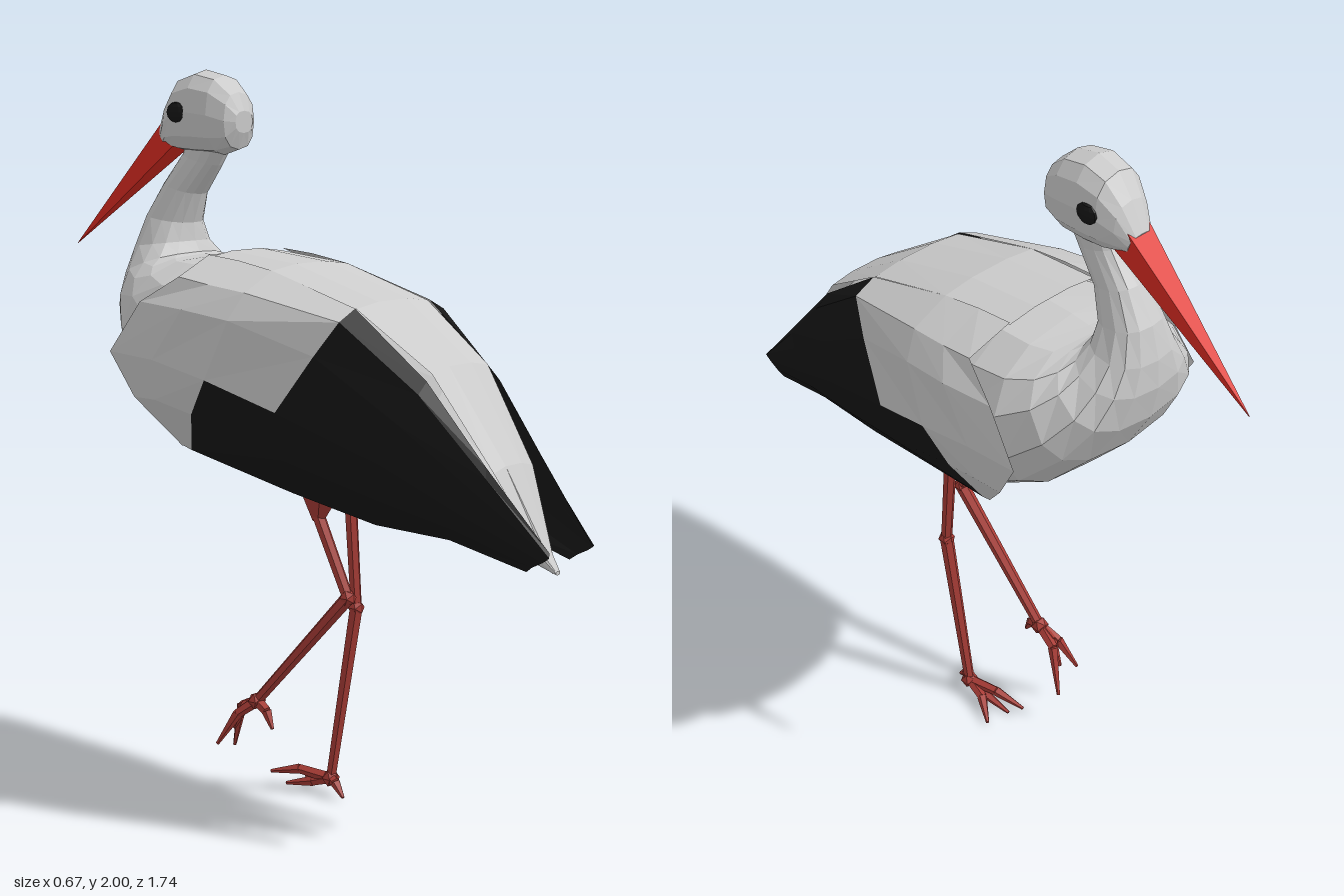
import * as THREE from 'three';

const paint = (color) => new THREE.MeshStandardMaterial({ color, flatShading: true, side: THREE.DoubleSide });
const GREY = paint(0xcccccc), BLACK = paint(0x161616), LEG = paint(0xa83c36), BEAK = paint(0xdd2c22);

function add(parent, name, geometry, material) {
  const mesh = new THREE.Mesh(geometry, material);
  mesh.name = name;
  parent.add(mesh);
  return mesh;
}

// Surface over a grid of points [row][column]; "use" picks the cells to fill
function sheet(rows, use = () => true) {
  const cols = rows[0].length, index = [];
  for (let r = 0; r < rows.length - 1; r++) {
    for (let c = 0; c < cols - 1; c++) {
      if (!use(r, c)) continue;
      const a = r * cols + c, b = a + 1, d = a + cols, e = d + 1;
      index.push(a, b, d, b, e, d);
    }
  }
  const geometry = new THREE.BufferGeometry();
  geometry.setAttribute('position', new THREE.Float32BufferAttribute(rows.flat(2), 3));
  geometry.setIndex(index);
  geometry.computeVertexNormals();
  return geometry;
}

// Closed loft; each section is [front z, front y, back z, back y, half width]
function loft(sections, sides = 14, power = 0.82) {
  const mid = ([fz, fy, bz, by]) => [(fz + bz) / 2, (fy + by) / 2, (fz + bz) / 2, (fy + by) / 2, 0];
  const all = [mid(sections[0]), ...sections, mid(sections.at(-1))];
  const soft = (v) => Math.sign(v) * Math.abs(v) ** power;
  return sheet(all.map(([fz, fy, bz, by, w]) => Array.from({ length: sides + 1 }, (_, i) => {
    const a = (i % sides) / sides * Math.PI * 2;
    const t = (1 + soft(Math.cos(a))) / 2;
    return [w * soft(Math.sin(a)), fy + (by - fy) * t, fz + (bz - fz) * t];
  })));
}

// Tapered rod between two points
function rod(parent, name, from, to, r0, r1, material, sides = 6) {
  const a = new THREE.Vector3(...from), b = new THREE.Vector3(...to);
  const dir = b.clone().sub(a);
  const geometry = new THREE.CylinderGeometry(r1, r0, dir.length(), sides);
  if (sides === 4) geometry.rotateY(Math.PI / 4);
  const mesh = add(parent, name, geometry, material);
  mesh.position.copy(a).add(b).multiplyScalar(0.5);
  mesh.quaternion.setFromUnitVectors(new THREE.Vector3(0, 1, 0), dir.normalize());
  return mesh;
}

// Folded wing, rows from the back ridge down to the lower edge, columns from shoulder to tip
const WING = [
  [[.15, 1.51, -.21], [.152, 1.5, -.1], [.155, 1.48, .02], [.155, 1.4, .3], [.14, 1.23, .52], [.12, 1.03, .69], [.09, .83, .865]],
  [[.28, 1.46, -.2], [.275, 1.445, -.1], [.265, 1.43, .02], [.22, 1.37, .3], [.175, 1.2, .52], [.13, 1.0, .7], [.1, .82, .87]],
  [[.315, 1.39, -.31], [.325, 1.38, -.15], [.31, 1.36, 0], [.25, 1.28, .24], [.2, 1.12, .48], [.14, .96, .68], [.1, .815, .865]],
  [[.33, 1.25, -.41], [.335, 1.24, -.25], [.325, 1.2, -.07], [.285, 1.13, .14], [.22, 1.02, .43], [.15, .9, .65], [.1, .805, .85]],
  [[.31, 1.13, -.34], [.315, 1.13, -.26], [.3, 1.1, -.14], [.25, 1.0, .14], [.19, .92, .4], [.14, .86, .62], [.1, .79, .82]],
  [[.24, 1.0, -.23], [.24, 1.0, -.225], [.235, .99, -.2], [.17, .9, .1], [.13, .84, .35], [.12, .83, .58], [.095, .775, .8]],
];
const isCovert = (r, c) => c < (r < 3 ? 3 : 2);

function makeWing(side) {
  const wing = new THREE.Group();
  wing.name = side > 0 ? 'leftWing' : 'rightWing';
  const rows = WING.map((row) => row.map(([x, y, z]) => [x * side, y, z]));
  add(wing, 'wingCoverts', sheet(rows, isCovert), GREY);
  add(wing, 'flightFeathers', sheet(rows, (r, c) => !isCovert(r, c)), BLACK);
  return wing;
}

// Leg from hip, knee and ankle, with jointed toes given as [knuckle, tip]
function makeLeg(name, hip, knee, ankle, toes) {
  const leg = new THREE.Group();
  leg.name = name;
  const thigh = rod(leg, 'thigh', [hip[0], .93, .115], [hip[0], hip[1] - .02, hip[2]], .09, .018, LEG);
  thigh.scale.x = 0.7;
  rod(leg, 'upperLeg', hip, knee, .018, .016, LEG);
  rod(leg, 'lowerLeg', knee, ankle, .02, .015, LEG);
  for (const [joint, r] of [[knee, .024], [ankle, .026]]) {
    add(leg, 'joint', new THREE.IcosahedronGeometry(r, 0), LEG).position.set(...joint);
  }
  for (const [knuckle, tip] of toes) {
    rod(leg, 'toe', ankle, knuckle, .016, .014, LEG, 5);
    rod(leg, 'toeTip', knuckle, tip, .015, .005, LEG, 5);
  }
  return leg;
}

export function createModel() {
  const bird = new THREE.Group();
  bird.name = 'wadingBird';

  // Tail, torso, chest and curved neck in one loft
  add(bird, 'bodyAndNeck', loft([
    [.83, .755, .83, .765, .01], [.68, .81, .68, .99, .07], [.52, .86, .52, 1.235, .115],
    [.3, .88, .3, 1.39, .195], [.05, .89, .05, 1.475, .265], [-.2, .97, -.18, 1.5, .305],
    [-.36, 1.07, -.28, 1.5, .305], [-.49, 1.21, -.34, 1.495, .265], [-.56, 1.33, -.37, 1.495, .21],
    [-.58, 1.43, -.385, 1.5, .155], [-.575, 1.51, -.4, 1.53, .11], [-.55, 1.6, -.405, 1.58, .078],
    [-.495, 1.69, -.375, 1.66, .056], [-.43, 1.77, -.31, 1.74, .043], [-.41, 1.82, -.27, 1.8, .042],
  ]), GREY);

  // Long feathers down the back
  const back = [[-.21, 1.515, .15], [.02, 1.492, .155], [.3, 1.41, .15], [.52, 1.26, .12], [.69, 1.02, .085], [.82, .77, .01]];
  add(bird, 'backFeathers', sheet(back.map(([z, y, w]) =>
    [-1, -.4, .4, 1].map((s) => [s * w, y - (Math.abs(s) === 1 ? .012 : 0), z]))), GREY);

  // Head, eyes and beak
  add(bird, 'head', loft([
    [-.217, 1.83, -.215, 1.89, .035], [-.235, 1.785, -.235, 1.94, .062], [-.285, 1.77, -.285, 1.985, .081],
    [-.355, 1.77, -.355, 2.0, .085], [-.42, 1.775, -.42, 1.98, .08], [-.465, 1.785, -.465, 1.92, .06],
    [-.485, 1.79, -.505, 1.845, .04],
  ], 12), GREY);
  rod(bird, 'beak', [0, 1.825, -.465], [0, 1.5, -.868], .054, .001, BEAK, 4);
  for (const side of [1, -1]) {
    const eye = add(bird, 'eye', new THREE.SphereGeometry(.033, 10, 6), BLACK);
    eye.scale.set(.35, .85, 1);
    eye.position.set(side * .08, 1.885, -.395);
    bird.add(makeWing(side));
  }

  // One leg stands, the other is lifted mid-step
  bird.add(makeLeg('standingLeg', [.07, .83, .105], [.07, .55, .125], [.065, .05, .04], [
    [[.05, .06, -.06], [.03, .04, -.15]],
    [[.08, .035, -.03], [.125, .012, -.1]],
    [[.06, .03, -.02], [.05, .008, -.11]],
    [[.05, .045, .07], [.04, .012, .105]],
  ]));
  bird.add(makeLeg('liftedLeg', [-.07, .83, .105], [-.07, .615, .21], [-.075, .275, -.11], [
    [[-.06, .245, -.18], [-.03, .115, -.235]],
    [[-.1, .235, -.16], [-.13, .145, -.21]],
    [[-.075, .25, -.16], [-.07, .18, -.2]],
    [[-.085, .255, -.065], [-.09, .21, -.04]],
  ]));
  return bird;
}
